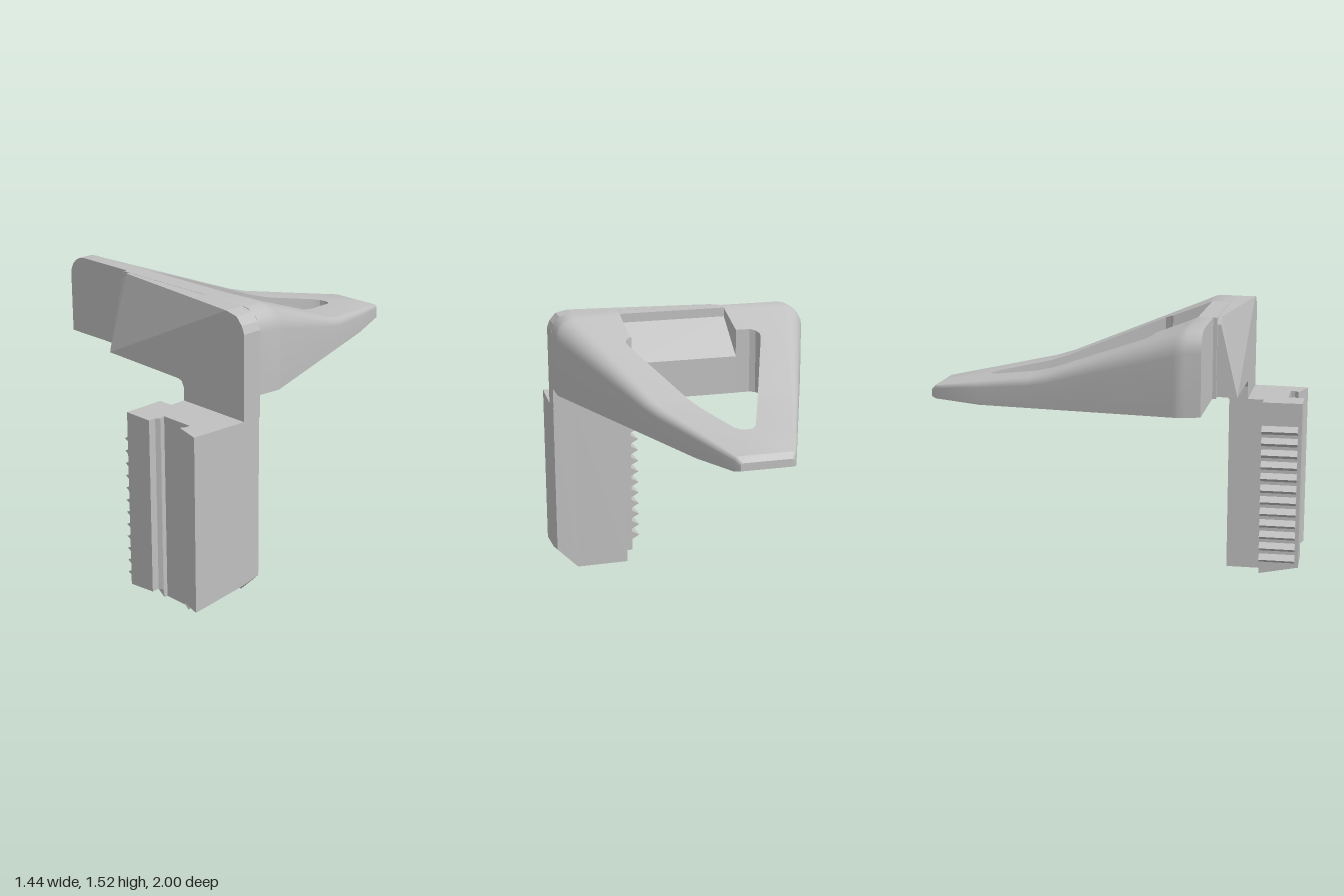
import * as THREE from 'three';
import { toCreasedNormals } from 'three/addons/utils/BufferGeometryUtils.js';

// Piecewise linear lookup through [key, value] pairs
function lerpTable(t, z) {
  if (z <= t[0][0]) return t[0][1];
  for (let i = 1; i < t.length; i++) {
    if (z <= t[i][0]) {
      const k = (z - t[i - 1][0]) / (t[i][0] - t[i - 1][0]);
      return t[i - 1][1] + k * (t[i][1] - t[i - 1][1]);
    }
  }
  return t[t.length - 1][1];
}

const topY = [[-1, 1.08], [-0.97, 1.108], [-0.4, 1.207], [-0.3, 1.235], [0.42, 1.51], [0.48, 1.535]];
const bottomY = [[-1, 1.04], [-0.97, 1.033], [-0.7, 1.03], [0.58, 1.11]];
const outerX = [[-1, 0.135], [-0.97, 0.16], [0.45, 0.72]];

// Joins closed sections (counterclockwise seen from +z, ordered along z)
function loft(sections, flip) {
  const n = sections[0].length, pos = [], index = [];
  sections.forEach(s => s.forEach(p => pos.push(...p)));
  const tri = (a, b, c) => (flip ? index.push(a, c, b) : index.push(a, b, c));
  for (let i = 0; i < sections.length - 1; i++) {
    for (let j = 0; j < n; j++) {
      const a = i * n + j, b = i * n + (j + 1) % n;
      tri(a, b, b + n);
      tri(a, b + n, a + n);
    }
  }
  const last = (sections.length - 1) * n;
  for (let j = 1; j < n - 1; j++) {
    tri(0, j + 1, j);
    tri(last, last + j, last + j + 1);
  }
  const g = new THREE.BufferGeometry();
  g.setAttribute('position', new THREE.Float32BufferAttribute(pos, 3));
  g.setIndex(index);
  return toCreasedNormals(g.toNonIndexed(), 0.5);
}

// One half of the triangular frame, rounded along its outer top edge
function frameHalf(side, pocketX, frontZ) {
  const stations = [[-1, 0], [-0.97, 0], [-0.697, 0], [-0.69, 0.03], [-0.66, 0.058], [-0.4, 0.157],
    [-0.3, 0.195], [0.18, 0.378], [0.215, 0.385], [0.245, 0.37], [0.262, 0.34], [0.263, pocketX],
    [0.42, pocketX], [0.45, pocketX], [0.48, pocketX], [frontZ, pocketX]];
  const sections = stations.map(([z, inner]) => {
    const yt = lerpTable(topY, z), yb = lerpTable(bottomY, z), xo = lerpTable(outerX, z);
    const r = 0.26 * (yt - yb);
    const pts = [[inner, yb], [xo, yb]];
    for (let k = 0; k <= 5; k++) {
      const a = k / 5 * Math.PI / 2;
      pts.push([xo - r + r * Math.cos(a), yt - r + r * Math.sin(a)]);
    }
    pts.push([inner, yt]);
    return pts.map(([x, y]) => [side * x, y, z]);
  });
  return loft(sections, side < 0);
}

function extrude(points, depth) {
  const shape = new THREE.Shape(points.map(p => new THREE.Vector2(p[0], p[1])));
  return new THREE.ExtrudeGeometry(shape, { depth, bevelEnabled: false });
}

// Moves vertices by a rule and refreshes the normals
function reshape(g, rule) {
  const p = g.attributes.position, v = new THREE.Vector3();
  for (let i = 0; i < p.count; i++) {
    v.fromBufferAttribute(p, i);
    rule(v);
    p.setXYZ(i, v.x, v.y, v.z);
  }
  g.computeVertexNormals();
  return g;
}

export function createModel() {
  const model = new THREE.Group();
  model.name = 'latchHandle';
  const grey = new THREE.MeshStandardMaterial({ color: 0xc0c0c0 });
  grey.name = 'lightGrey';
  const add = (name, geometry, parent = model) => {
    const mesh = new THREE.Mesh(geometry, grey);
    mesh.name = name;
    parent.add(mesh);
    return mesh;
  };

  // Triangular frame
  add('frameLeft', frameHalf(1, 0.35, 0.585));
  add('frameRight', frameHalf(-1, 0.26, 0.56));

  // Crossbar with a sloping pocket floor
  const bar = extrude([[-0.58, 1.11], [-0.26, 1.09], [-0.26, 1.3], [-0.48, 1.485], [-0.48, 1.535], [-0.58, 1.535]], 0.61);
  bar.rotateY(Math.PI / 2).translate(-0.26, 0, 0);
  add('crossbar', bar);

  // Pocket corner gussets
  for (const [x, tip] of [[-0.26, -0.19], [0.35, 0.28]]) {
    const pts = [[x, 1.49, 0.48], [x, 1.29, 0.262], [x, 1.44, 0.262], [tip, 1.38, 0.37]].map(p => new THREE.Vector3(...p));
    const f = x < 0 ? [0, 2, 3, 2, 1, 3] : [0, 3, 2, 2, 3, 1];
    add('pocketGusset', new THREE.BufferGeometry().setFromPoints(f.map(i => pts[i]))).geometry.computeVertexNormals();
  }

  // Front plate and neck, its upper right corner leaning back
  const plate = extrude([[-0.26, 1.12], [0.26, 1.108], [0.285, 1.1], [0.3, 1.07], [0.3, 0.995], [0.72, 0.995],
    [0.72, 1.44], [0.705, 1.48], [0.67, 1.52], [0.6, 1.535], [-0.22, 1.535], [-0.255, 1.5]], 0.11);
  plate.translate(0, 0, 0.582);
  add('frontPlate', reshape(plate, v => { if (v.x < 0 && v.y > 1.3 && v.z > 0.6) v.z = 0.6; }));

  // Post with a T-slot in its front and a chamfered foot
  const plan = [[0.22, 0.78], [0.3, 0.78], [0.3, 0.588], [0.6, 0.588], [0.72, 0.588], [0.72, 0.7], [0.695, 1],
    [0.57, 0.965], [0.55, 0.955], [0.57, 0.935], [0.57, 0.91], [0.39, 0.91], [0.39, 0.93], [0.4, 0.945],
    [0.38, 0.96], [0.38, 1], [0.22, 1]];
  const post = extrude(plan.map(([x, z]) => [x, -z]), 1).rotateX(-Math.PI / 2);
  add('post', reshape(post, v => {
    if (v.y > 0.5) return;
    if (v.x > 0.71) v.y = v.z < 0.65 ? 0.14 : 0.12;
    else if (v.z > 0.94) v.y = 0.075;
    else if (v.z > 0.88) v.y = 0.02;
    else v.y = v.x === 0.6 ? 0 : 0.02;
    if (v.x < 0.23) v.y = v.z > 0.9 ? 0.06 : 0.015;
  }));

  // Row of ratchet teeth
  const teeth = new THREE.Group();
  teeth.name = 'teeth';
  model.add(teeth);
  for (let i = 0; i < 12; i++) {
    const tooth = extrude([[0.225, -0.027], [0.225, 0.027], [0.175, 0]], 0.2);
    tooth.translate(0, 0.108 + i * 0.067, 0.78);
    add('tooth', tooth, teeth);
  }
  return model;
}
